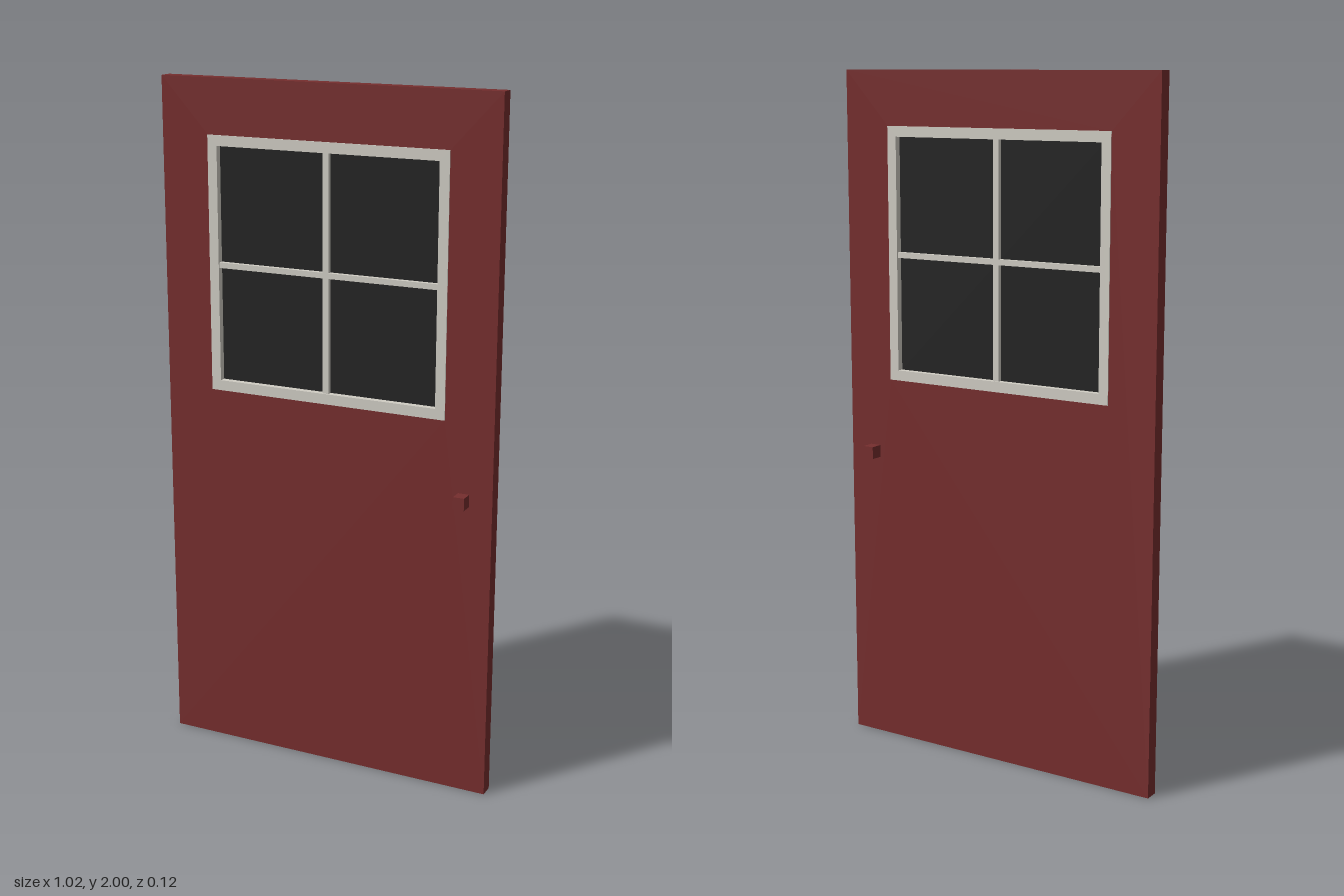
import * as THREE from 'three';

const doorRed = new THREE.MeshStandardMaterial({ name: 'doorRed', color: 0x762e2e });
const frameWhite = new THREE.MeshStandardMaterial({ name: 'frameWhite', color: 0xd0cdc4 });
const darkGlass = new THREE.MeshStandardMaterial({ name: 'darkGlass', color: 0x232323 });

// Rectangular plate with a rectangular hole, centred on z = 0; bounds are [x0, x1, y0, y1]
function ring(outer, inner, depth) {
  const trace = (path, [x0, x1, y0, y1]) =>
    path.moveTo(x0, y0).lineTo(x1, y0).lineTo(x1, y1).lineTo(x0, y1).closePath();
  const shape = new THREE.Shape();
  trace(shape, outer);
  const hole = new THREE.Path();
  trace(hole, inner);
  shape.holes.push(hole);
  return new THREE.ExtrudeGeometry(shape, { depth, bevelEnabled: false }).translate(0, 0, -depth / 2);
}

export function createModel() {
  const model = new THREE.Group();
  model.name = 'door';
  const add = (name, geometry, material, x = 0, y = 0, z = 0) => {
    const mesh = new THREE.Mesh(geometry, material);
    mesh.name = name;
    mesh.position.set(x, y, z);
    model.add(mesh);
  };

  const opening = [-0.365, 0.365, 1.108, 1.843];
  const paneArea = [-0.336, 0.336, 1.138, 1.813];
  const midY = 1.4755;

  // Door slab and the window frame that stands slightly proud of it
  add('doorSlab', ring([-0.51, 0.51, 0, 2], opening, 0.041), doorRed);
  add('windowFrame', ring(opening, paneArea, 0.046), frameWhite);

  // Glazing bars and recessed glass
  add('verticalBar', new THREE.BoxGeometry(0.018, 0.675, 0.036), frameWhite, 0, midY);
  add('horizontalBar', new THREE.BoxGeometry(0.672, 0.016, 0.036), frameWhite, 0, midY);
  add('windowGlass', new THREE.BoxGeometry(0.672, 0.675, 0.008), darkGlass, 0, midY);

  // One square knob on each face
  for (const side of [1, -1]) {
    add(side > 0 ? 'frontKnob' : 'backKnob',
      new THREE.BoxGeometry(0.033, 0.036, 0.038), doorRed, 0.425, 0.887, side * 0.039);
  }
  return model;
}
